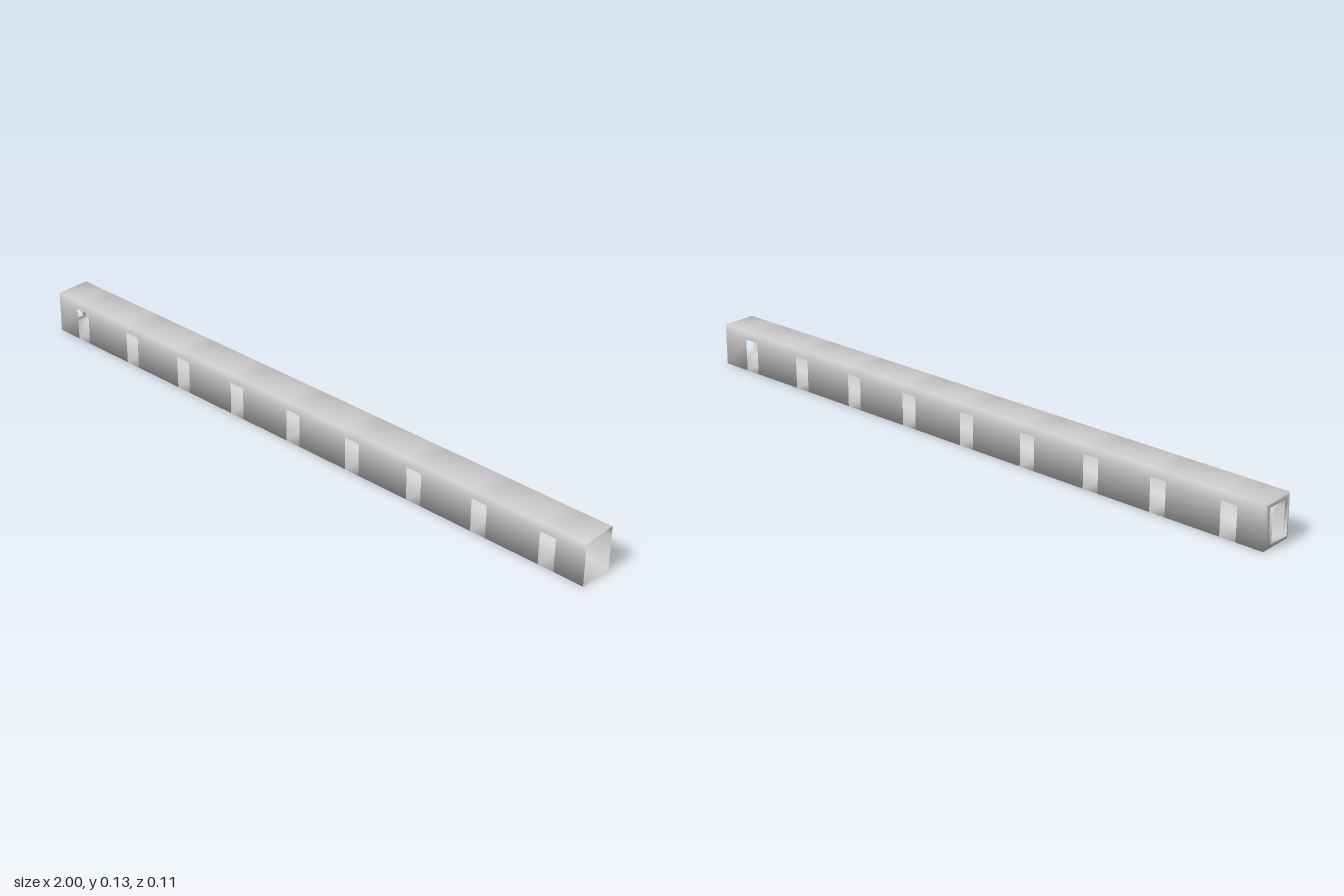
import * as THREE from 'three';
import { mergeVertices } from 'three/addons/utils/BufferGeometryUtils.js';

const X0 = -0.99, X1 = 1;            // ends of the main duct
const H = 0.128, D = 0.054;          // height and half depth
const WIN_TOP = 0.101, WIN_HALF = 0.025, WIN_STEP = 0.2207, WIN_COUNT = 9;
const COLLAR = { y0: 0.016, y1: 0.114, d: 0.034 };

// Mesh from a list of quads (corners counter-clockwise seen from outside), smooth across shared corners
function quadMesh(name, quads) {
  const pos = [];
  for (const [a, b, c, d] of quads) pos.push(...a, ...b, ...c, ...a, ...c, ...d);
  let geo = new THREE.BufferGeometry();
  geo.setAttribute('position', new THREE.Float32BufferAttribute(pos, 3));
  geo = mergeVertices(geo, 1e-5);
  geo.computeVertexNormals();
  const mat = new THREE.MeshStandardMaterial({ color: 0xcccccc, side: THREE.DoubleSide });
  const mesh = new THREE.Mesh(geo, mat);
  mesh.name = name;
  return mesh;
}

// Rectangle corners in a plane of constant x, counter-clockwise seen from -x
const ring = (x, y0, y1, d) => [[x, y0, -d], [x, y0, d], [x, y1, d], [x, y1, -d]];

export function createModel() {
  const group = new THREE.Group();
  group.name = 'windowedDuct';

  // Stations along the duct: every odd bay is a window
  const xs = [X0];
  for (let i = 0; i < WIN_COUNT; i++) {
    const c = (i - (WIN_COUNT - 1) / 2) * WIN_STEP;
    xs.push(c - WIN_HALF, c + WIN_HALF);
  }
  xs.push(X1);

  // Side walls with windows down to the floor, plus roof and floor strips
  const body = [];
  for (let i = 0; i < xs.length - 1; i++) {
    const a = xs[i], b = xs[i + 1];
    const wall = (y0, y1) => {
      body.push([[a, y0, D], [b, y0, D], [b, y1, D], [a, y1, D]]);
      body.push([[b, y0, -D], [a, y0, -D], [a, y1, -D], [b, y1, -D]]);
    };
    wall(WIN_TOP, H);
    if (i % 2 === 0) wall(0, WIN_TOP);
    body.push([[a, H, D], [b, H, D], [b, H, -D], [a, H, -D]]);
    body.push([[a, 0, -D], [b, 0, -D], [b, 0, D], [a, 0, D]]);
  }

  // Flat end frame around the smaller opening
  const outer = ring(X0, 0, H, D);
  const inner = ring(X0, COLLAR.y0, COLLAR.y1, COLLAR.d);
  const lip = ring(-1, COLLAR.y0, COLLAR.y1, COLLAR.d);
  const collar = [];
  for (let i = 0; i < 4; i++) {
    const j = (i + 1) % 4;
    body.push([outer[i], outer[j], inner[j], inner[i]]);
    collar.push([inner[i], inner[j], lip[j], lip[i]]);
  }

  group.add(quadMesh('ductBody', body));
  // Short collar standing out from the end frame
  group.add(quadMesh('endCollar', collar));
  return group;
}
